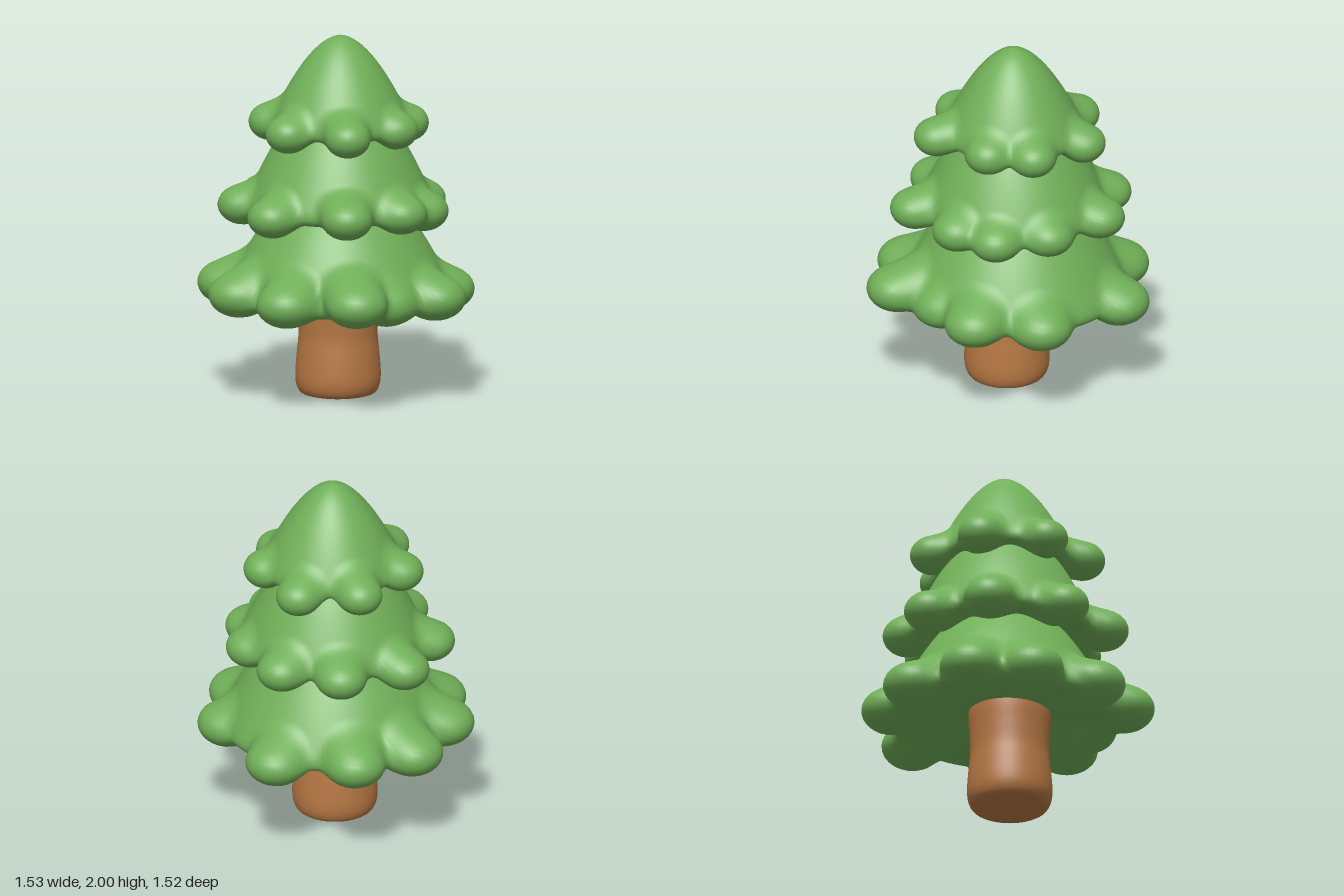
import * as THREE from 'three';
import { mergeVertices } from 'three/addons/utils/BufferGeometryUtils.js';

const foliage = new THREE.MeshStandardMaterial({ color: 0x70af58 });
foliage.name = 'leafGreen';
const bark = new THREE.MeshStandardMaterial({ color: 0xb57743 });
bark.name = 'barkBrown';

// Smooth union and smooth intersection of two distances
const smin = (a, b, k) => {
  const h = Math.max(k - Math.abs(a - b), 0) / k;
  return Math.min(a, b) - h * h * k / 4;
};
const smax = (a, b, k) => -smin(-a, -b, k);

// Each tier: dome profile radius * u^power between base and top, lobe tips as [x, y, z]
const TIERS = [
  {
    name: 'lowerBoughs', top: 1.27, base: 0.5, radius: 0.66, power: 0.52, cx: 0.02, eye: 0.76,
    wide: 0.17, high: 0.125, inner: 0.38, rise: 0.1,
    tips: [[-0.18, 0.56, -0.755], [0.49, 0.57, -0.58], [0.758, 0.59, -0.2], [0.66, 0.585, 0.17],
      [0.675, 0.62, 0.513], [0.242, 0.6, 0.755], [-0.27, 0.6, 0.71], [-0.62, 0.605, 0.45],
      [-0.77, 0.58, 0], [-0.63, 0.58, -0.425]],
  },
  {
    name: 'middleBoughs', top: 1.72, base: 0.99, radius: 0.55, power: 0.52, cx: 0.025, eye: 1.2,
    wide: 0.14, high: 0.11, inner: 0.3, rise: 0.08,
    tips: [[-0.115, 1.065, -0.635], [0.325, 1.06, -0.52], [0.59, 1.05, -0.257], [0.65, 1.07, 0.03],
      [0.535, 1.075, 0.46], [0.03, 1.055, 0.67], [-0.46, 1.055, 0.46], [-0.65, 1.045, 0.03],
      [-0.485, 1.06, -0.42]],
  },
  {
    name: 'topBoughs', top: 2.0, base: 1.43, radius: 0.425, power: 0.56, cx: 0.03, eye: 1.62,
    wide: 0.125, high: 0.105, inner: 0.22, rise: 0.06,
    tips: [[-0.13, 1.48, -0.5], [0.325, 1.5, -0.39], [0.49, 1.505, -0.105], [0.45, 1.505, 0.36],
      [0.01, 1.5, 0.515], [-0.4, 1.505, 0.275], [-0.46, 1.495, -0.205]],
  },
];

// Distance field of one tier: a hollow-bottomed dome blended with drooping round lobes
function tierField(t) {
  const squash = t.wide / t.high;
  const lobes = t.tips.map(([x, y, z]) => {
    const len = Math.hypot(x, z), ux = x / len, uz = z / len;
    const a = new THREE.Vector3(ux * t.inner, (y + t.rise) * squash, uz * t.inner);
    const b = new THREE.Vector3(ux * (len - t.wide), y * squash, uz * (len - t.wide));
    const d = b.sub(a);
    return { a, d, dd: d.lengthSq() };
  });
  return (x, y, z) => {
    const r = Math.hypot(x - t.cx, z);
    const u = Math.max((t.top - y) / (t.top - t.base), 0);
    const side = (r - t.radius * Math.pow(u, t.power)) * 0.8;
    const floor = t.base + 0.12 * Math.max(1 - r / t.radius, 0) - y;
    let f = smax(Math.max(side, y - t.top), floor, 0.12);
    for (const { a, d, dd } of lobes) {
      const px = x - a.x, py = y * squash - a.y, pz = z - a.z;
      const h = THREE.MathUtils.clamp((px * d.x + py * d.y + pz * d.z) / dd, 0, 1);
      const dist = Math.hypot(px - d.x * h, py - d.y * h, pz - d.z * h) - t.wide;
      f = smin(f, dist, 0.04);
    }
    return f;
  };
}

// Push every vertex of a sphere out from the tier's middle to the field's surface
function tierGeometry(t) {
  const field = tierField(t);
  const sphere = new THREE.SphereGeometry(1, 168, 112);
  sphere.deleteAttribute('uv');
  sphere.deleteAttribute('normal');
  const geo = mergeVertices(sphere, 1e-5);
  const pos = geo.attributes.position;
  const v = new THREE.Vector3();
  for (let i = 0; i < pos.count; i++) {
    v.fromBufferAttribute(pos, i).normalize();
    const at = (s) => field(t.cx + v.x * s, t.eye + v.y * s, v.z * s);
    const step = 0.02;
    let lo = 1;
    while (lo > step && at(lo) > 0) lo -= step;
    let hi = lo + step;
    for (let k = 0; k < 12; k++) {
      const mid = (lo + hi) / 2;
      if (at(mid) > 0) hi = mid; else lo = mid;
    }
    pos.setXYZ(i, t.cx + v.x * lo, t.eye + v.y * lo, v.z * lo);
  }
  geo.computeVertexNormals();
  return geo;
}

export function createModel() {
  const tree = new THREE.Group();
  tree.name = 'tree';

  // Trunk: soft rounded foot, slight waist
  const outline = new THREE.SplineCurve([
    [0.17, 0.008], [0.208, 0.022], [0.229, 0.065], [0.234, 0.13], [0.226, 0.24],
    [0.217, 0.34], [0.221, 0.46], [0.226, 0.56], [0.22, 0.7],
  ].map(([x, y]) => new THREE.Vector2(x, y)));
  const profile = [new THREE.Vector2(0, 0), new THREE.Vector2(0.14, 0.003), ...outline.getPoints(32)];
  const trunk = new THREE.Mesh(new THREE.LatheGeometry(profile, 48), bark);
  trunk.name = 'trunk';
  trunk.position.set(0.043, 0, 0.033);
  tree.add(trunk);

  // Three tiers of boughs
  for (const t of TIERS) {
    const mesh = new THREE.Mesh(tierGeometry(t), foliage);
    mesh.name = t.name;
    tree.add(mesh);
  }
  return tree;
}
